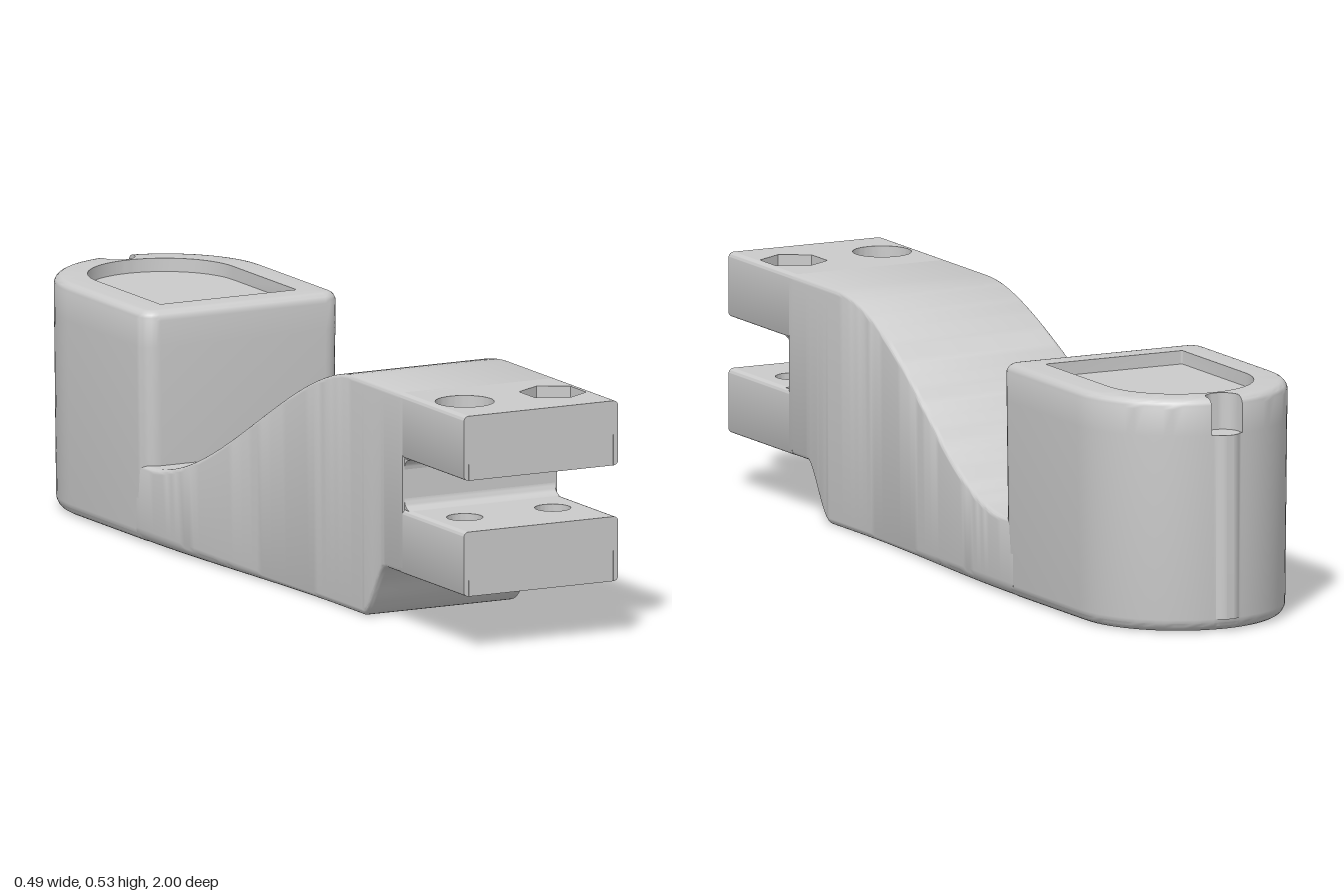
import * as THREE from 'three';
import { toCreasedNormals } from 'three/addons/utils/BufferGeometryUtils.js';

const { sin, cos, PI, asin, sqrt, min } = Math;
const smooth = THREE.MathUtils.smoothstep;
const steps = (n, a, b) => Array.from({ length: n + 1 }, (_, i) => a + (b - a) * i / n);
const material = new THREE.MeshStandardMaterial({ color: 0xcccccc });

function addMesh(parent, name, geometry) {
  const mesh = new THREE.Mesh(toCreasedNormals(geometry, 0.6), material);
  mesh.name = name;
  parent.add(mesh);
  return mesh;
}

// Skin a list of equal-length rings ([x, y, z] points) and cap both ends
function loft(rings) {
  const n = rings[0].length, pos = rings.flat(2), index = [];
  for (let i = 0; i < rings.length - 1; i++) {
    for (let j = 0; j < n; j++) {
      const a = i * n + j, b = i * n + (j + 1) % n, c = a + n, d = b + n;
      index.push(a, c, b, b, c, d);
    }
  }
  [0, rings.length - 1].forEach((r, end) => {
    const centre = pos.length / 3;
    for (let k = 0; k < 3; k++) pos.push(rings[r].reduce((s, p) => s + p[k], 0) / n);
    for (let j = 0; j < n; j++) {
      const a = r * n + j, b = r * n + (j + 1) % n;
      index.push(centre, ...(end ? [b, a] : [a, b]));
    }
  });
  const g = new THREE.BufferGeometry();
  g.setAttribute('position', new THREE.Float32BufferAttribute(pos, 3));
  g.setIndex(index);
  return g;
}

// Arm: rounded rectangles whose top, bottom and width follow z
function armRing(z) {
  const top = 0.175 + 0.355 * smooth(z, -0.38, 0.5);
  const bottom = 0.125 * smooth(z, 0.525, 0.635);
  const back = 1 - smooth(z, -0.4, 0.4);
  const w = 0.193 + 0.048 * back, rb = 0.014 + 0.018 * back, rt = 0.012;
  const corners = [[w, top, rt, 1, 1], [-w, top, rt, -1, 1], [-w, bottom, rb, -1, -1], [w, bottom, rb, 1, -1]];
  return corners.flatMap(([x, y, r, sx, sy], q) =>
    steps(5, q * PI / 2, (q + 1) * PI / 2).map(a => [x - sx * r + r * cos(a), y - sy * r + r * sin(a), z]));
}

// Fork prong: drilled plate with round and hexagonal counterbores, plus rounded side strips
function prong(name, y0, y1, side) {
  const group = new THREE.Group();
  group.name = name;
  const zBack = 0.7, zHole = 0.85, x = 0.18, w = 0.193, r = 0.012, deep = 0.07;

  const plate = (label, bottom, height, holes) => {
    const shape = new THREE.Shape([[-x, -1], [x, -1], [x, -zBack], [-x, -zBack]].map(p => new THREE.Vector2(...p)));
    shape.holes = holes;
    const g = new THREE.ExtrudeGeometry(shape, { depth: height, bevelEnabled: false, curveSegments: 32 });
    g.rotateX(-PI / 2).translate(0, bottom, 0);
    addMesh(group, label, g);
  };
  const round = (cx, radius) => new THREE.Path().absarc(cx, -zHole, radius, 0, 2 * PI, true);
  const hex = cx => new THREE.Path(steps(5, 0, 5).map(i =>
    new THREE.Vector2(cx + 0.074 * sin(i * PI / 3), -zHole + 0.074 * cos(i * PI / 3))));

  const inner = y1 - y0 - deep;
  plate('counterborePlate', side > 0 ? y1 - deep : y0, deep, [round(-0.11 * side, 0.065), hex(0.11 * side)]);
  plate('boltHolePlate', side > 0 ? y0 : y0 + deep, inner, [round(-0.11, 0.04), round(0.11, 0.04)]);

  const edge = new THREE.Shape();
  edge.moveTo(x, y0);
  edge.absarc(w - r, y0 + r, r, -PI / 2, 0);
  edge.absarc(w - r, y1 - r, r, 0, PI / 2);
  edge.lineTo(x, y1);
  for (const s of [1, -1]) {
    const g = new THREE.ExtrudeGeometry(edge, { depth: 1 - zBack, bevelEnabled: false, curveSegments: 6 });
    addMesh(group, 'prongEdge', g.translate(0, 0, zBack)).scale.x = s;
  }
  return group;
}

// Concave fillet in an inner corner of the fork slot
function slotFillet(y, dir) {
  const r = 0.025, z = 0.715;
  const s = new THREE.Shape();
  const pts = steps(6, 0, PI / 2).map(a => new THREE.Vector2(-(z + r - r * cos(a)), y + dir * (r - r * sin(a))));
  s.setFromPoints([new THREE.Vector2(-z, y), ...pts]);
  const g = new THREE.ExtrudeGeometry(s, { depth: 0.376, bevelEnabled: false });
  return g.rotateY(PI / 2).translate(-0.188, 0, 0);
}

// Plan outline with a round back; the rear points can follow a post or a notch
function outline(w, front, corner, cz, y, mode) {
  const pz = -0.962, pr = 0.038, a = asin(pr / w), mid = 1.5 * PI;
  const taper = 0.97 + 0.03 * y / 0.52;
  const arc = t => [w * cos(t), cz + w * sin(t)];
  const cornerPts = (s, from) => steps(6, from, from + PI / 2).map(t =>
    [s * (w - corner) + corner * cos(t), front - corner + corner * sin(t)]);
  const rear = steps(14, -PI / 2, PI / 2).map(t => {
    const [px, p] = arc(mid + a * sin(t));
    if (mode === 'post') return [px, min(p, pz - pr * cos(t))];
    if (mode === 'notch') return [px, pz + pr * cos(t)];
    return [px, p];
  });
  return [
    ...cornerPts(1, 0), ...cornerPts(-1, PI / 2),
    ...steps(16, PI, mid - a).map(arc), ...rear, ...steps(16, mid + a, 2 * PI).map(arc),
  ].map(([px, pz2]) => [px * taper, y, pz2]);
}

// Raised block: filleted bottom, rear post and notch, filleted rim and sunken top
function block() {
  const ring = (inset, y, mode) => outline(0.247 - inset, -0.38 - inset, 0.04 - inset, -0.74, y, mode);
  const recess = y => outline(0.17, -0.45, 0.004, -0.745, y);
  const fb = 0.028, ft = 0.022, h = 0.522;
  return loft([
    ...steps(5, 0, PI / 2).map(t => ring(fb * (1 - sin(t)), fb * (1 - cos(t)))),
    ring(0, fb, 'post'), ring(0, 0.44, 'post'), ring(0, 0.44, 'notch'),
    ...steps(5, 0, PI / 2).map(t => ring(ft * (1 - cos(t)), h - ft + ft * sin(t), 'notch')),
    recess(h), recess(h - 0.03),
  ]);
}

export function createModel() {
  const model = new THREE.Group();
  model.name = 'forkedArm';
  addMesh(model, 'arm', loft([...steps(4, 0.715, 0.64), ...steps(16, 0.635, 0.52), ...steps(48, 0.5, -0.43)].map(armRing)));
  model.add(prong('upperProng', 0.385, 0.53, 1), prong('lowerProng', 0.125, 0.27, -1));
  addMesh(model, 'upperSlotFillet', slotFillet(0.385, -1));
  addMesh(model, 'lowerSlotFillet', slotFillet(0.27, 1));
  addMesh(model, 'block', block());
  return model;
}
